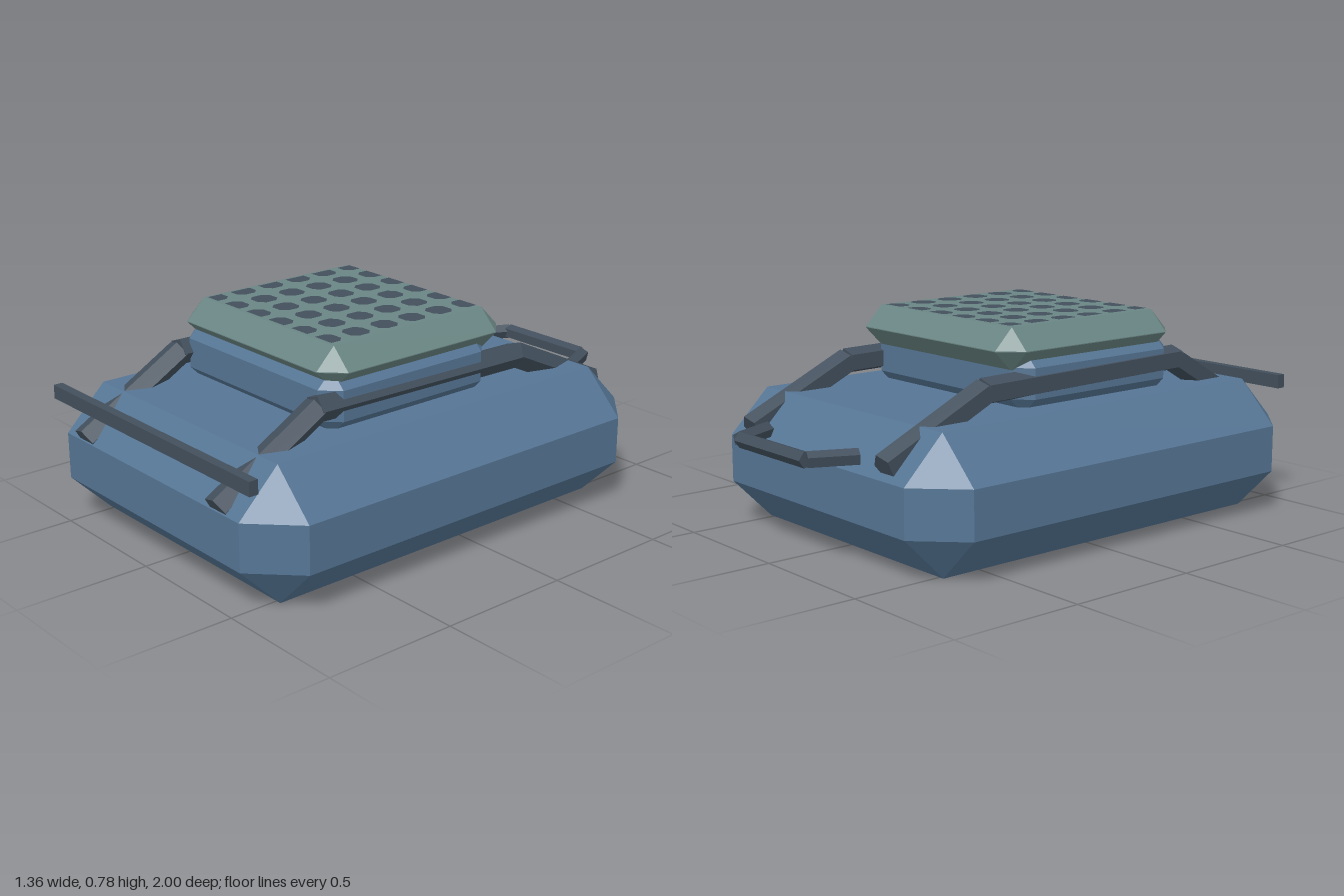
import * as THREE from 'three';
import { ConvexGeometry } from 'three/addons/geometries/ConvexGeometry.js';

const blue = new THREE.MeshStandardMaterial({ name: 'packBlue', color: 0x557594 });
const green = new THREE.MeshStandardMaterial({ name: 'padGreen', color: 0x698583 });
const dark = new THREE.MeshStandardMaterial({ name: 'darkTrim', color: 0x424f5c });

// Box with every edge chamfered by b; corners become triangles
function chamferBox(name, [x0, x1], [y0, y1], [z0, z1], b, material) {
  const c = [(x0 + x1) / 2, (y0 + y1) / 2, (z0 + z1) / 2];
  const h = [(x1 - x0) / 2, (y1 - y0) / 2, (z1 - z0) / 2];
  const points = [];
  for (const sx of [-1, 1]) for (const sy of [-1, 1]) for (const sz of [-1, 1]) {
    for (let axis = 0; axis < 3; axis++) {
      const p = [sx, sy, sz].map((s, i) => c[i] + s * (i === axis ? h[i] : h[i] - b));
      points.push(new THREE.Vector3(...p));
    }
  }
  const mesh = new THREE.Mesh(new ConvexGeometry(points), material);
  mesh.name = name;
  return mesh;
}

// Straight five-sided rod between two points; theta turns its ridge
function rod(name, from, to, radius, theta) {
  const a = new THREE.Vector3(...from), b = new THREE.Vector3(...to);
  const dir = b.clone().sub(a);
  const geo = new THREE.CylinderGeometry(radius, radius, dir.length(), 5, 1, false, theta).toNonIndexed();
  geo.computeVertexNormals();
  const mesh = new THREE.Mesh(geo, dark);
  mesh.name = name;
  mesh.position.copy(a).add(b).multiplyScalar(0.5);
  mesh.quaternion.setFromUnitVectors(new THREE.Vector3(0, 1, 0), dir.normalize());
  return mesh;
}

export function createModel() {
  const model = new THREE.Group();
  model.name = 'chamferedPack';

  // Main body, raised block and cushion
  model.add(chamferBox('body', [-0.68, 0.68], [0, 0.495], [-0.815, 0.975], 0.16, blue));
  model.add(chamferBox('raisedBlock', [-0.435, 0.435], [0.465, 0.7], [-0.235, 0.53], 0.062, blue));
  model.add(chamferBox('cushion', [-0.45, 0.45], [0.625, 0.78], [-0.305, 0.535], 0.076, green));

  // Dark spots on the cushion, cut off at the edge of the panel
  const spots = new THREE.Group();
  spots.name = 'cushionSpots';
  const octagon = [[-1, -0.5], [-0.5, -1], [0.5, -1], [1, -0.5], [1, 0.5], [0.5, 1], [-0.5, 1], [-1, 0.5]];
  for (let i = 0; i < 6; i++) for (let j = 0; j < 6; j++) {
    const cx = -0.339 + i * 0.1295, cz = -0.207 + j * 0.1285;
    const outline = octagon.map(([u, v]) => new THREE.Vector2(
      THREE.MathUtils.clamp(cx + u * 0.044, -0.358, 0.355),
      -THREE.MathUtils.clamp(cz - v * 0.044, -0.224, 0.452)));
    const spot = new THREE.Mesh(new THREE.ShapeGeometry(new THREE.Shape(outline)), dark);
    spot.name = 'spot';
    spot.rotation.x = -Math.PI / 2;
    spot.position.y = 0.783;
    spots.add(spot);
  }
  model.add(spots);

  // Two bent rails running front to back
  for (const x of [-0.4, 0.4]) {
    const rail = new THREE.Group();
    rail.name = x > 0 ? 'leftRail' : 'rightRail';
    rail.add(rod('railFront', [x, 0.345, 0.975], [x, 0.588, 0.555], 0.05, Math.PI / 2));
    rail.add(rod('railMiddle', [x, 0.589, 0.565], [x, 0.575, -0.38], 0.05, Math.PI / 2));
    rail.add(rod('railBack', [x, 0.577, -0.375], [x, 0.378, -0.805], 0.05, Math.PI / 2));
    model.add(rail);
  }

  // Cross bar at the front
  const bar = new THREE.Mesh(new THREE.BoxGeometry(1.18, 0.052, 0.035), dark);
  bar.name = 'frontBar';
  bar.position.set(0, 0.476, 0.963);
  model.add(bar);

  // Carrying handle at the back
  const handle = new THREE.Group();
  handle.name = 'backHandle';
  handle.add(rod('handleGrip', [-0.2, 0.395, -0.97], [0.2, 0.395, -0.97], 0.03, Math.PI));
  for (const s of [-1, 1]) {
    handle.add(rod('handleLeg', [s * 0.278, 0.395, -0.815], [s * 0.206, 0.395, -0.973], 0.03, s * Math.PI / 2));
  }
  model.add(handle);

  return model;
}
